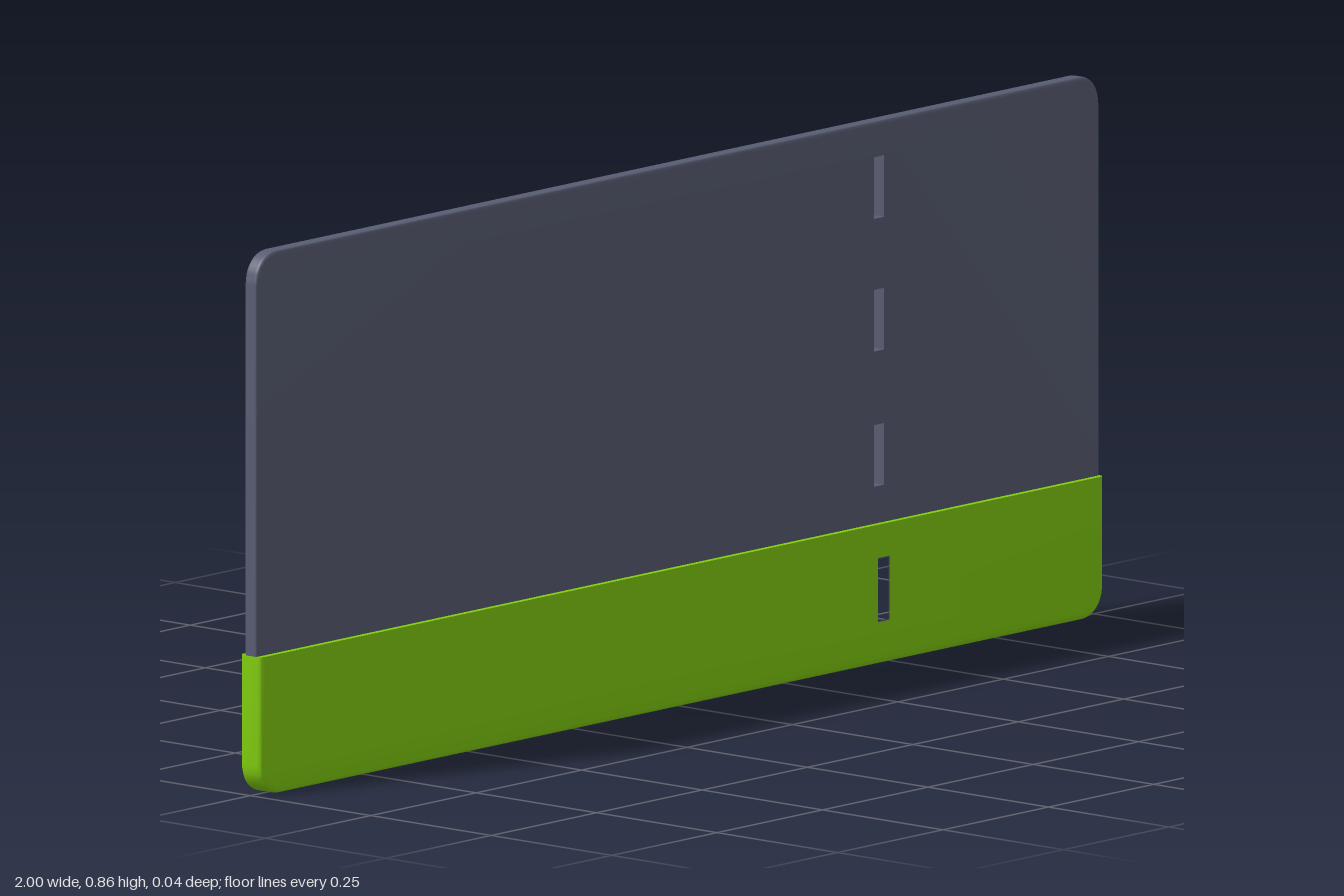
import * as THREE from 'three';
import { toCreasedNormals } from 'three/addons/utils/BufferGeometryUtils.js';

const SEAM = 0.222, TOP = 0.862, RADIUS = 0.05;
const SLOT_X = 0.477, SLOT_W = 0.024, SLOT_H = 0.098;
const LINING = 0.002;

function rectPath(PathType, cx, cy, w, h) {
  const x = w / 2, y = h / 2;
  return new PathType([[-x, -y], [-x, y], [x, y], [x, -y]]
    .map(([px, py]) => new THREE.Vector2(cx + px, cy + py)));
}

// Plate with a square edge at the seam and rounded corners at the far edge
function plate(farY, depth, bevel, slotYs, slotW, slotH) {
  const r = RADIUS, d = Math.sign(farY - SEAM);
  const shape = new THREE.Shape();
  shape.moveTo(-1, SEAM);
  shape.lineTo(1, SEAM);
  shape.lineTo(1, farY - d * r);
  shape.bezierCurveTo(1, farY - d * r * 0.4, 1 - r * 0.4, farY, 1 - r, farY);
  shape.lineTo(-1 + r, farY);
  shape.bezierCurveTo(-1 + r * 0.4, farY, -1, farY - d * r * 0.4, -1, farY - d * r);
  shape.closePath();
  for (const y of slotYs) shape.holes.push(rectPath(THREE.Path, SLOT_X, y, slotW, slotH));

  const geo = new THREE.ExtrudeGeometry(shape, {
    depth: depth - 2 * bevel, curveSegments: 10, bevelEnabled: true,
    bevelThickness: bevel, bevelSize: bevel, bevelOffset: -bevel, bevelSegments: 3,
  });
  geo.translate(0, 0, bevel - depth / 2);

  // Keep the seam and the slots sharp: pull their bevelled corners back
  const p = geo.attributes.position;
  for (let i = 0; i < p.count; i++) {
    const x = p.getX(i), y = p.getY(i);
    if (Math.abs(y - SEAM) < 0.02) p.setXY(i, x, SEAM);
    const slotY = slotYs.find((s) => Math.abs(y - s) < 0.07);
    if (slotY !== undefined && Math.abs(x - SLOT_X) < 0.04) {
      p.setXY(i, SLOT_X + Math.sign(x - SLOT_X) * slotW / 2,
        slotY + Math.sign(y - slotY) * slotH / 2);
    }
  }
  return toCreasedNormals(geo, 0.6);
}

export function createModel() {
  const group = new THREE.Group();
  const grey = new THREE.MeshStandardMaterial({ color: 0x585c72 });
  const green = new THREE.MeshStandardMaterial({ color: 0x80cc0e });
  const add = (name, geo, mat) => {
    const mesh = new THREE.Mesh(geo, mat);
    mesh.name = name;
    group.add(mesh);
  };

  // Thin upper board with three slots
  add('upperPanel', plate(TOP, 0.025, 0.005, [0.33, 0.545, 0.756], SLOT_W, SLOT_H), grey);

  // Thicker lower band with one slot
  const lowY = 0.118;
  const w = SLOT_W + 2 * LINING, h = SLOT_H + 2 * LINING;
  add('lowerBand', plate(0, 0.044, 0.008, [lowY], w, h), green);

  // Grey lining of the lower slot
  const ring = rectPath(THREE.Shape, SLOT_X, lowY, w, h);
  ring.holes.push(rectPath(THREE.Path, SLOT_X, lowY, SLOT_W, SLOT_H));
  const lining = new THREE.ExtrudeGeometry(ring, { depth: 0.042, bevelEnabled: false });
  lining.translate(0, 0, -0.021);
  add('slotLining', lining, grey);

  return group;
}
